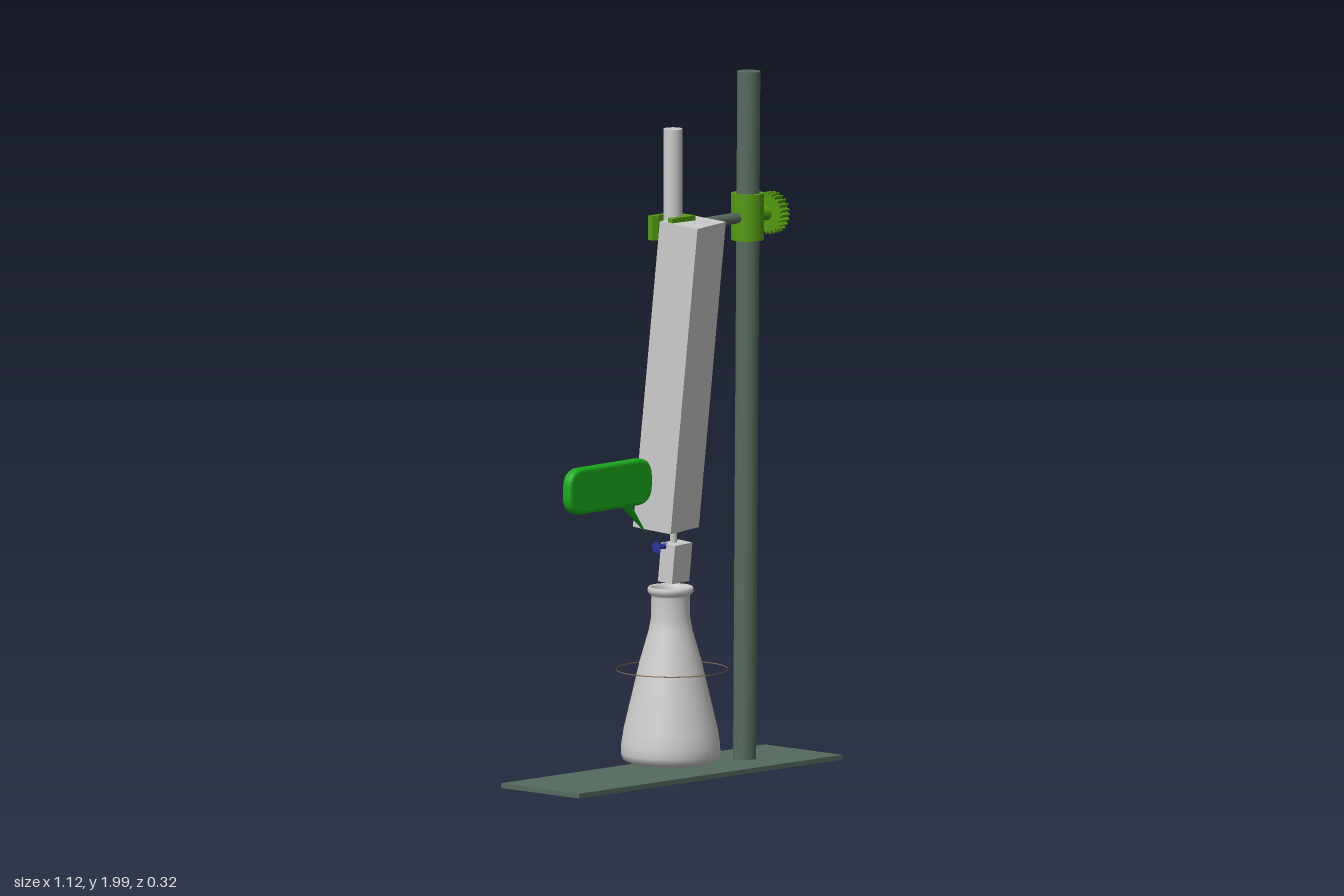
import * as THREE from 'three';

const Z = 0.56; // depth line on which the whole apparatus stands

const mat = (color, extra = {}) => new THREE.MeshStandardMaterial({ color, ...extra });
const steel = mat(0x566a5e);
const olive = mat(0x549a12);
const grey = mat(0xcccccc);
const glass = mat(0xcccccc, { side: THREE.DoubleSide });
const green = mat(0x1aaa1c);
const blue = mat(0x2a3596);
const brown = mat(0x8a7058, { side: THREE.DoubleSide });

export function createModel() {
  const model = new THREE.Group();

  function add(name, geometry, material, x, y, z, parent = model) {
    const mesh = new THREE.Mesh(geometry, material);
    mesh.name = name;
    mesh.position.set(x, y, z);
    parent.add(mesh);
    return mesh;
  }

  // Stand: slightly leaning base plate and rod
  const base = add('basePlate', new THREE.BoxGeometry(1.115, 0.014, 0.3), steel, 0, 0.02, Z);
  base.rotation.z = -0.011;
  const rod = add('standRod', new THREE.CylinderGeometry(0.033, 0.033, 1.98, 32), steel, 0.316, 1.01, Z);
  rod.rotation.z = -0.009;

  // Clamp: sleeve round the rod, arm, knurled screw and open jaw
  const clamp = new THREE.Group();
  clamp.name = 'clamp';
  clamp.position.set(0, 1.583, Z);
  model.add(clamp);

  const sleeve = [[0.034, -0.067], [0.047, -0.067], [0.047, 0.067], [0.034, 0.067], [0.034, -0.067]]
    .map(([r, y]) => new THREE.Vector2(r, y));
  const sleeveGeo = new THREE.LatheGeometry(sleeve, 40).toNonIndexed();
  sleeveGeo.computeVertexNormals();
  add('clampSleeve', sleeveGeo, olive, 0.32, 0, 0, clamp);

  const arm = add('clampArm', new THREE.CylinderGeometry(0.016, 0.016, 0.24, 24), steel, 0.16, 0, 0, clamp);
  arm.rotation.z = Math.PI / 2;
  const screw = add('screwStem', new THREE.CylinderGeometry(0.02, 0.02, 0.05, 24), olive, 0.385, 0, 0, clamp);
  screw.rotation.z = Math.PI / 2;

  const teeth = 24;
  const knob = new THREE.Shape();
  for (let i = 0; i < teeth * 4; i++) {
    const r = i % 4 < 2 ? 0.06 : 0.051;
    const a = (i / (teeth * 4)) * Math.PI * 2;
    const p = [r * Math.cos(a), r * Math.sin(a)];
    if (i) knob.lineTo(...p); else knob.moveTo(...p);
  }
  const knobGeo = new THREE.ExtrudeGeometry(knob, { depth: 0.034, bevelEnabled: false });
  add('screwKnob', knobGeo, olive, 0.4, 0, 0, clamp).rotation.y = Math.PI / 2;

  // Jaw outline seen from above, opening towards -x
  const half = [[0.052, 0.047], [-0.047, 0.047], [-0.047, 0.03], [-0.03, 0.022], [-0.018, 0.03], [0.012, 0.03], [0.026, 0.016]];
  const outline = [...half, ...half.map(([x, y]) => [x, -y]).reverse()].map(([x, y]) => new THREE.Vector2(x, y));
  const jawGeo = new THREE.ExtrudeGeometry(new THREE.Shape(outline), { depth: 0.07, bevelEnabled: false });
  add('clampJaw', jawGeo, olive, 0, -0.033, -0.003, clamp).rotation.x = -Math.PI / 2;

  // Graduated tube with its outlet
  add('tube', new THREE.CylinderGeometry(0.027, 0.027, 1.07, 32), grey, 0.004, 1.335, Z);
  add('outlet', new THREE.CylinderGeometry(0.01, 0.01, 0.16, 16), grey, 0.006, 0.74, Z);

  // Tilted long box round the tube
  const sheath = add('sheathBox', new THREE.BoxGeometry(0.16, 0.89, 0.125), grey, 0.02, 1.162, 0.57);
  sheath.rotation.set(0.1, 0.21, 0, 'YXZ');

  // Valve block and tap
  const block = add('valveBlock', new THREE.BoxGeometry(0.083, 0.112, 0.05), grey, 0.008, 0.623, 0.565);
  block.rotation.set(0.1, 0.1, 0, 'YXZ');
  for (const [x, top, bottom, len] of [[-0.058, 0.006, 0.017, 0.016], [-0.038, 0.01, 0.006, 0.026]]) {
    const tap = add('tap', new THREE.CylinderGeometry(top, bottom, len, 16), blue, x, 0.672, Z);
    tap.rotation.z = -Math.PI / 2;
  }

  // Conical flask, open at the mouth
  const profile = [
    [0, 0.05], [0.12, 0.05], [0.136, 0.058], [0.142, 0.075], [0.141, 0.1], [0.134, 0.145],
    [0.088, 0.34], [0.062, 0.43], [0.056, 0.465], [0.055, 0.525], [0.058, 0.532], [0.065, 0.538],
    [0.066, 0.548], [0.062, 0.554], [0.054, 0.55], [0.05, 0.53], [0.051, 0.465], [0.057, 0.425],
    [0.083, 0.335], [0.129, 0.14], [0.134, 0.08], [0.118, 0.058], [0, 0.058],
  ].map(([r, y]) => new THREE.Vector2(r, y));
  add('flask', new THREE.LatheGeometry(profile, 56), glass, -0.006, 0, Z);

  // Hair-thin level band around the flask
  add('levelBand', new THREE.CylinderGeometry(0.16, 0.16, 0.003, 64, 1, true), brown, 0, 0.315, Z);

  // Label plate with rounded corners and a pointer to the tap
  const w = 0.165, h = 0.056, c = 0.045;
  const plate = new THREE.Shape();
  plate.moveTo(-w + c, -h);
  plate.lineTo(w - c, -h);
  plate.quadraticCurveTo(w, -h, w, -h + c);
  plate.lineTo(w, h - c);
  plate.quadraticCurveTo(w, h, w - c, h);
  plate.lineTo(-w + c, h);
  plate.quadraticCurveTo(-w, h, -w, h - c);
  plate.lineTo(-w, -h + c);
  plate.quadraticCurveTo(-w, -h, -w + c, -h);
  const plateGeo = new THREE.ExtrudeGeometry(plate, {
    depth: 0.012, bevelThickness: 0.011, bevelSize: 0.011, bevelSegments: 4, curveSegments: 8,
  });
  add('labelPlate', plateGeo, green, -0.26, 0.868, 0.542);

  const from = new THREE.Vector3(-0.19, 0.815, 0.548);
  const to = new THREE.Vector3(-0.097, 0.712, 0.552);
  const dir = to.clone().sub(from);
  const mid = from.clone().add(to).multiplyScalar(0.5);
  const pointer = add('labelPointer', new THREE.ConeGeometry(0.015, dir.length(), 20), green, mid.x, mid.y, mid.z);
  pointer.quaternion.setFromUnitVectors(new THREE.Vector3(0, 1, 0), dir.normalize());

  return model;
}
